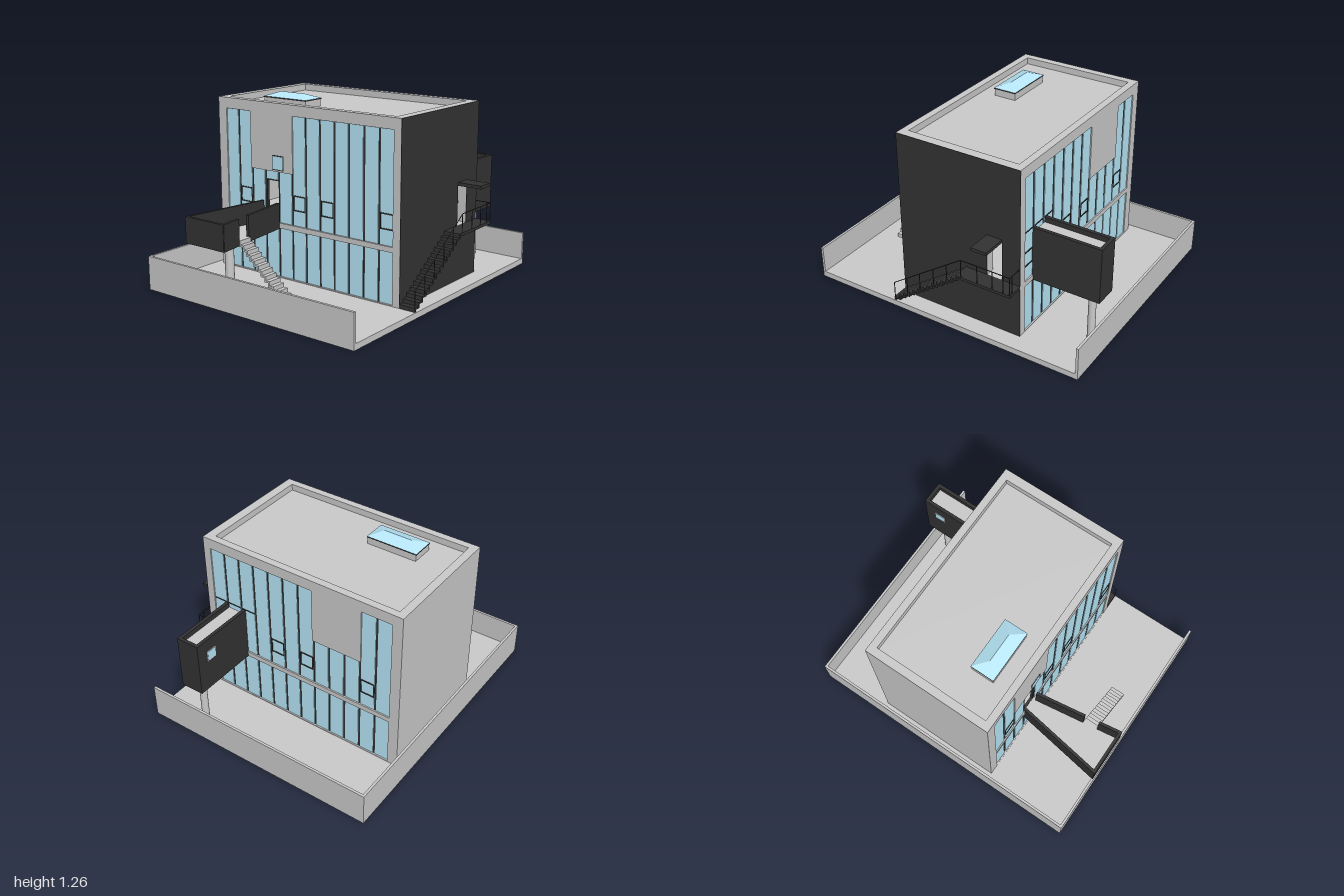
import * as THREE from 'three';

const mat = (color) => new THREE.MeshStandardMaterial({ color });
const GREY = mat(0xcccccc), DARK = mat(0x333333), GLASS = mat(0xb8e8fa);
GLASS.side = THREE.DoubleSide;

function add(parent, name, geo, material) {
  const m = new THREE.Mesh(geo, material);
  m.name = name;
  parent.add(m);
  return m;
}

// Box given by its limits on each axis
function box(parent, name, material, x0, x1, y0, y1, z0, z1) {
  const m = add(parent, name, new THREE.BoxGeometry(x1 - x0, y1 - y0, z1 - z0), material);
  m.position.set((x0 + x1) / 2, (y0 + y1) / 2, (z0 + z1) / 2);
  return m;
}

const poly = (pts) => new THREE.Shape(pts.map(([x, y]) => new THREE.Vector2(x, y)));
const rect = (x0, x1, y0, y1) => poly([[x0, y0], [x1, y0], [x1, y1], [x0, y1]]);
function plate(shape, depth, holes = []) {
  shape.holes.push(...holes);
  return new THREE.ExtrudeGeometry(shape, { depth, bevelEnabled: false });
}

// Round bar between two points
function bar(parent, name, a, b, r = 0.003) {
  const A = new THREE.Vector3(...a), B = new THREE.Vector3(...b);
  const m = add(parent, name, new THREE.CylinderGeometry(r, r, A.distanceTo(B), 6), DARK);
  m.position.copy(A).add(B).multiplyScalar(0.5);
  m.quaternion.setFromUnitVectors(new THREE.Vector3(0, 1, 0), B.sub(A).normalize());
}

// Thin folded flight of steps rising along +x, width along +z
function stairs(parent, name, material, n, run, rise, width) {
  const t = 0.012, pts = [[0, 0]];
  for (let i = 0; i < n; i++) {
    pts.push([i * run / n, (i + 1) * rise / n], [(i + 1) * run / n, (i + 1) * rise / n]);
  }
  const under = pts.map(([x, y]) => [x + t, y - t]).reverse();
  return add(parent, name, plate(poly([...pts, ...under]), width), material);
}

// Upright wall between two plan points
function planWall(parent, name, x0, z0, x1, z1, y0, y1, t = 0.02) {
  const m = add(parent, name, new THREE.BoxGeometry(Math.hypot(x1 - x0, z1 - z0), y1 - y0, t), DARK);
  m.position.set((x0 + x1) / 2, (y0 + y1) / 2, (z0 + z1) / 2);
  m.rotation.y = -Math.atan2(z1 - z0, x1 - x0);
}

// Long glazed wall; s = 1 on the left side (+x), -1 on the right (-x)
function sideWall(s) {
  const g = new THREE.Group();
  g.name = s > 0 ? 'leftFacade' : 'rightFacade';
  const face = s > 0 ? 0.52 : -0.38;
  const Z0 = 0.645, pitch = 0.1158, gap = 0.016;
  const colZ = (i) => Z0 - i * pitch;
  const zEnd = colZ(12) + gap;
  const bank = () => poly([[Z0, 0.42], [Z0, 1.147], [colZ(7) + gap, 1.147], [colZ(7) + gap, 0.765],
    [colZ(10), 0.765], [colZ(10), 1.147], [zEnd, 1.147], [zEnd, 0.42]]);
  const lower = () => rect(zEnd, Z0, 0.045, 0.385);
  const door = s < 0 ? [rect(colZ(9) + gap, colZ(8), 0.425, 0.70)] : [];
  // place a plate with its outer face "inset" behind the facade
  const mount = (name, geo, depth, inset, material) => {
    const m = add(g, name, geo, material);
    m.rotation.y = -Math.PI / 2;
    m.position.x = s > 0 ? face - inset : face + inset + depth;
  };
  const layer = (name, material, out0, out1, y0, y1, z0, z1) => {
    const a = face + s * out0, b = face + s * out1;
    return box(g, name, material, Math.min(a, b), Math.max(a, b), y0, y1, z0, z1);
  };
  mount('sideWall', plate(rect(-0.8, 0.698, 0.03, 1.22), 0.05, [bank(), lower()]), 0.05, 0, GREY);
  mount('upperMullions', plate(bank(), 0.02, door), 0.02, 0.012, DARK);
  mount('lowerMullions', plate(lower(), 0.02), 0.02, 0.012, DARK);

  for (let i = 0; i < 12; i++) {
    const z1 = colZ(i), z0 = colZ(i + 1) + gap;
    const short = i >= 7 && i <= 9;
    layer('lowerPane', GLASS, -0.014, -0.008, 0.047, 0.383, z0, z1);
    if (s < 0 && i === 8) {
      layer('doorHead', GLASS, -0.014, -0.008, 0.71, 0.763, z0, z1);
      continue;
    }
    layer('upperPane', GLASS, -0.014, -0.008, 0.422, short ? 0.763 : 1.145, z0, z1);
    if (s > 0 && i < 3) layer('transom', DARK, -0.01, -0.004, 0.762, 0.768, z0, z1);
    // opening casements
    if ([0, 4, 6, 10].includes(i)) {
      for (const y of [0.525, 0.622]) layer('casementRail', DARK, -0.01, -0.004, y - 0.004, y + 0.004, z0, z1);
      for (const z of [z0, z1 - 0.006]) layer('casementStile', DARK, -0.01, -0.004, 0.525, 0.622, z, z + 0.006);
    }
  }
  if (s < 0) {
    layer('smallWindowFrame', DARK, -0.01, 0.001, 0.775, 0.875, -0.325, -0.225);
    layer('smallWindowPane', GLASS, -0.01, 0.003, 0.782, 0.868, -0.318, -0.232);
  }
  return g;
}

// Hipped glass roof light on a kerb
function skylight() {
  const g = new THREE.Group();
  g.name = 'skylight';
  const x0 = -0.23, x1 = -0.065, z0 = -0.525, z1 = -0.16, y = 1.23;
  box(g, 'kerb', GREY, x0 + 0.004, x1 - 0.004, 1.17, 1.222, z0 + 0.004, z1 - 0.004);
  box(g, 'kerbRim', DARK, x0, x1, 1.222, y, z0, z1);
  const A = [x0, y, z1], B = [x1, y, z1], C = [x1, y, z0], D = [x0, y, z0];
  const R = [-0.147, 1.26, -0.24], S = [-0.147, 1.26, -0.44];
  const tris = [A, B, R, B, C, S, B, S, R, C, D, S, D, A, R, D, R, S];
  const geo = new THREE.BufferGeometry();
  geo.setAttribute('position', new THREE.Float32BufferAttribute(tris.flat(), 3));
  geo.computeVertexNormals();
  add(g, 'glassHip', geo, GLASS);
  return g;
}

// Front flight, landing, handrail and canopy
function frontEntrance() {
  const g = new THREE.Group();
  g.name = 'frontEntrance';
  stairs(g, 'frontStairs', DARK, 14, 0.54, 0.38, 0.115).position.set(-0.38, 0.04, 0.70);
  box(g, 'landing', DARK, 0.16, 0.52, 0.4, 0.42, 0.70, 0.815);
  box(g, 'canopy', DARK, 0.28, 0.39, 0.69, 0.712, 0.70, 0.87);
  const z = 0.811, h = 0.125;
  const ground = (x) => Math.min(0.42, 0.05 + (x + 0.38) * 0.37 / 0.54);
  for (const x of [-0.377, -0.27, -0.165, -0.055, 0.05, 0.16, 0.28, 0.39, 0.47, 0.517]) {
    bar(g, 'railPost', [x, ground(x), z], [x, ground(x) + h, z]);
  }
  bar(g, 'slopedRail', [-0.377, 0.05 + h, z], [0.16, 0.42 + h, z]);
  bar(g, 'levelRail', [0.16, 0.42 + h, z], [0.517, 0.42 + h, z]);
  bar(g, 'endRail', [0.517, 0.42 + h, z], [0.517, 0.42 + h, 0.70]);
  bar(g, 'endPost', [0.517, 0.42, 0.785], [0.517, 0.42 + h, 0.785]);
  return g;
}

// Dark projecting room on a column
function projectingRoom() {
  const g = new THREE.Group();
  g.name = 'projectingRoom';
  box(g, 'roomBody', DARK, 0.515, 0.985, 0.385, 0.72, 0.388, 0.552);
  box(g, 'roomRoof', GREY, 0.515, 0.962, 0.72, 0.73, 0.41, 0.53);
  box(g, 'roomParapet', DARK, 0.515, 0.985, 0.72, 0.765, 0.388, 0.412);
  box(g, 'roomParapet', DARK, 0.515, 0.985, 0.72, 0.765, 0.528, 0.552);
  box(g, 'roomParapet', DARK, 0.961, 0.985, 0.72, 0.765, 0.412, 0.528);
  box(g, 'roomWindowFrame', GREY, 0.826, 0.904, 0.601, 0.679, 0.386, 0.39);
  box(g, 'roomWindow', GLASS, 0.832, 0.898, 0.607, 0.673, 0.384, 0.39);
  add(g, 'roomColumn', new THREE.CylinderGeometry(0.025, 0.025, 0.35, 24), GREY).position.set(0.895, 0.212, 0.465);
  return g;
}

// Flared balcony with its own flight of steps
function balcony() {
  const g = new THREE.Group();
  g.name = 'balcony';
  const zf = (x) => -0.27 - (x + 0.39) * 0.145;
  const plan = () => poly([[-0.38, 0.41], [-0.38, 0.27], [-0.995, -zf(-0.995)], [-0.995, 0.5]]);
  for (const [name, y, d, m] of [['balconySoffit', 0.385, 0.015, DARK], ['balconyFloor', 0.4, 0.02, GREY]]) {
    const f = add(g, name, plate(plan(), d), m);
    f.rotation.x = -Math.PI / 2;
    f.position.y = y;
  }
  planWall(g, 'backParapet', -0.39, -0.402, -0.998, -0.498, 0.385, 0.56);
  planWall(g, 'endParapet', -0.99, -0.505, -0.99, -0.175, 0.385, 0.56);
  planWall(g, 'frontParapet', -0.39, zf(-0.39), -0.74, zf(-0.74), 0.385, 0.56);
  planWall(g, 'frontParapet', -0.84, zf(-0.84), -0.998, zf(-0.998), 0.385, 0.56);
  add(g, 'balconyColumn', new THREE.CylinderGeometry(0.03, 0.03, 0.35, 24), GREY).position.set(-0.79, 0.212, -0.335);
  const st = stairs(g, 'balconyStairs', GREY, 14, 0.42, 0.38, 0.1);
  st.rotation.y = Math.PI / 2;
  st.position.set(-0.84, 0.04, 0.2);
  return g;
}

export function createModel() {
  const model = new THREE.Group();
  model.name = 'house';

  // Plot with low walls on three sides
  box(model, 'ground', GREY, -1, 1, 0, 0.04, -0.87, 0.82);
  box(model, 'gardenWall', GREY, -1, -0.983, 0.04, 0.23, -0.87, 0.82);
  box(model, 'gardenWall', GREY, 0.983, 1, 0.04, 0.23, -0.87, 0.82);
  box(model, 'gardenWall', GREY, -0.983, 0.983, 0.04, 0.23, -0.87, -0.853);

  // Hollow main block with a sunken flat roof
  model.add(sideWall(1), sideWall(-1));
  box(model, 'backWall', GREY, -0.33, 0.47, 0.03, 1.22, -0.8, -0.745);
  const doorway = () => [rect(0.28, 0.39, 0.42, 0.69)];
  add(model, 'frontWall', plate(rect(-0.33, 0.47, 0.03, 1.22), 0.063, doorway()), GREY).position.z = 0.635;
  add(model, 'frontCladding', plate(rect(-0.38, 0.52, 0.04, 1.22), 0.002, doorway()), DARK).position.z = 0.698;
  box(model, 'upperFloor', GREY, -0.34, 0.48, 0.387, 0.418, -0.75, 0.64);
  box(model, 'roof', GREY, -0.34, 0.48, 1.15, 1.175, -0.75, 0.64);
  const inner = stairs(model, 'innerStairs', GREY, 16, 0.6, 0.5, 0.1);
  inner.rotation.y = Math.PI / 2;
  inner.position.set(0.345, 0.42, 0.3);

  model.add(skylight(), frontEntrance(), projectingRoom(), balcony());
  // centre the depth, canopy and plot already balance about z = 0
  return model;
}
